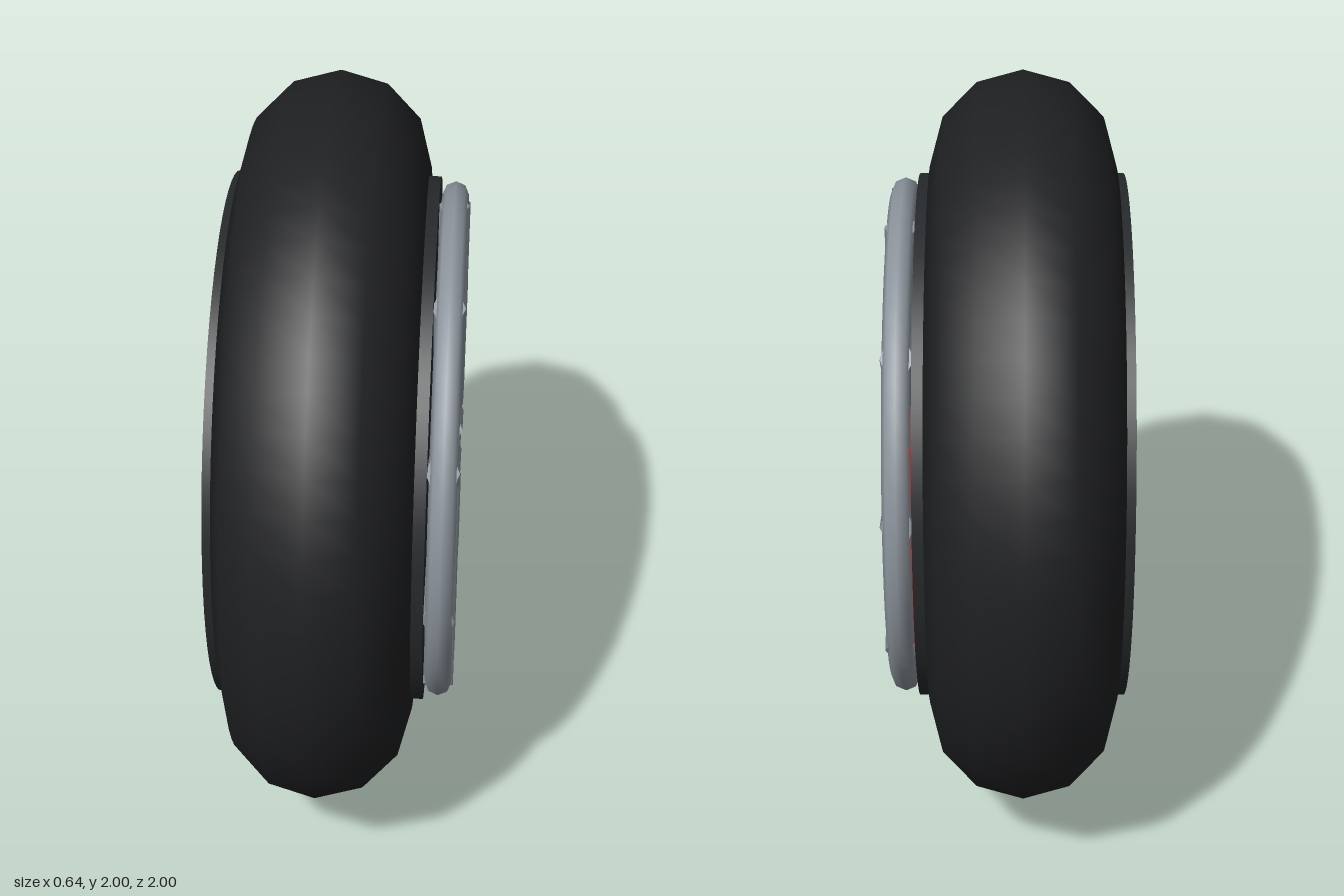
import * as THREE from 'three';

const mat = (color, flatShading = false) => new THREE.MeshStandardMaterial({ color, flatShading });

export function createModel() {
  const wheel = new THREE.Group();
  wheel.name = 'wheel';

  const rubber = mat(0x1f2022);
  const dark = mat(0x26292b);
  const alloy = mat(0x8c949c);
  const red = mat(0xcc2a20, true);

  const add = (name, geometry, material, parent = wheel) => {
    const mesh = new THREE.Mesh(geometry, material);
    mesh.name = name;
    parent.add(mesh);
    return mesh;
  };

  // Tyre: a fat ring around the x axis
  const tyre = add('tyre', new THREE.TorusGeometry(0.75, 0.25, 12, 64).rotateY(Math.PI / 2), rubber);
  tyre.position.set(-0.045, 1, 0);

  // Solid drum through the middle
  const drum = add('drum', new THREE.CylinderGeometry(0.72, 0.72, 0.555, 64).rotateZ(-Math.PI / 2), dark);
  drum.position.set(-0.0425, 1, 0);

  // Outer rim ring
  const rim = add('rimRing', new THREE.TorusGeometry(0.672, 0.036, 8, 64).rotateY(Math.PI / 2), alloy);
  rim.position.set(0.275, 1, 0);

  // Ten round spokes with an open centre
  const spokes = new THREE.Group();
  spokes.name = 'spokes';
  spokes.position.set(0.273, 1, 0);
  wheel.add(spokes);
  const spokeGeometry = new THREE.CylinderGeometry(0.043, 0.043, 0.48, 8).translate(0, 0.44, 0);
  for (let i = 0; i < 10; i++) {
    const spoke = add('spoke', spokeGeometry, alloy, spokes);
    spoke.rotation.x = -THREE.MathUtils.degToRad(9 + 36 * i);
  }

  // Brake caliper: a plate with chamfered edges, set into the drum face
  const b = 0.025;
  const plate = new THREE.Shape([[-0.1, -0.28], [0.1, -0.28], [0.1, 0.28], [-0.1, 0.28]]
    .map(([x, y]) => new THREE.Vector2(x, y)));
  const caliperGeometry = new THREE.ExtrudeGeometry(plate, {
    depth: 0.06, bevelEnabled: true, bevelThickness: b, bevelSize: b, bevelSegments: 1,
  }).rotateY(Math.PI / 2);
  const caliper = add('brakeCaliper', caliperGeometry, red);
  caliper.position.set(0.165, 1.005, -0.505);

  return wheel;
}
